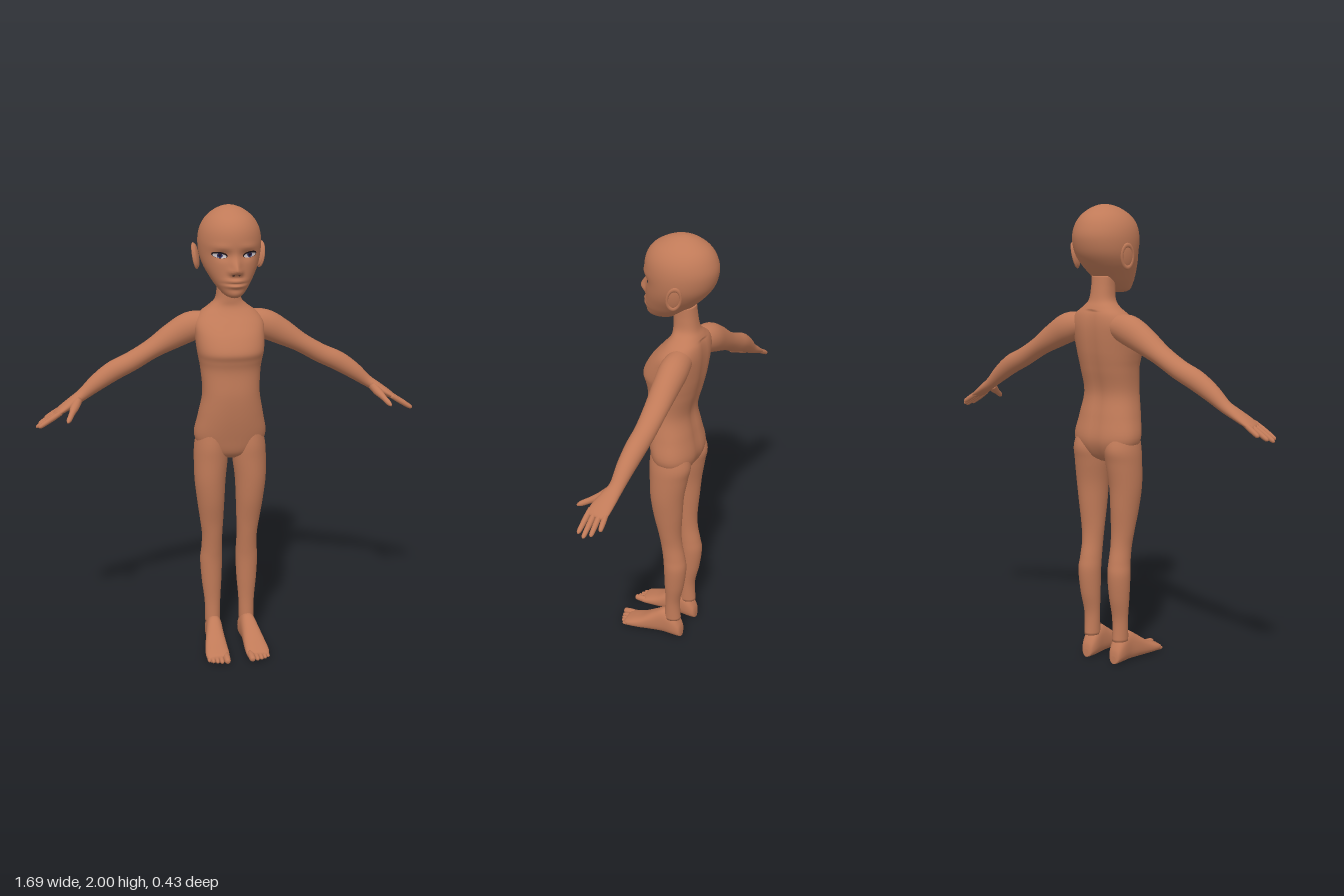
import * as THREE from 'three';

const mat = (name, color) => Object.assign(new THREE.MeshStandardMaterial({ color }), { name });
const skin = mat('skin', 0xc07a58);
const white = mat('eyeWhite', 0xcfc8cc);
const iris = mat('iris', 0x2b2c5c);
const dark = mat('lash', 0x22171a);

const UP = new THREE.Vector3(0, 1, 0);
const Z = new THREE.Vector3(0, 0, 1);
const X = new THREE.Vector3(1, 0, 0);

// Smooth interpolation of rows of numbers
function sample(rows, t) {
  const n = rows.length - 1, i = Math.min(Math.floor(t * n), n - 1), f = t * n - i;
  const p = k => rows[Math.max(0, Math.min(n, k))];
  return rows[i].map((b, c) => {
    const a = p(i - 1)[c], d = p(i + 1)[c], e = p(i + 2)[c];
    return b + 0.5 * f * (d - a + f * (2 * a - 5 * b + 4 * d - e + f * (3 * (b - d) + e - a)));
  });
}

// Skin over rows [x, y, z, radius along u, radius along v]; axis fixes the ring plane
function loft(name, rows, { u = Z, axis = null, power = 2, seg = 24, steps = 6, rule = null } = {}) {
  const count = (rows.length - 1) * steps, pos = [], idx = [];
  const rings = Array.from({ length: count + 1 }, (_, i) => sample(rows, i / count));
  const at = i => new THREE.Vector3(...rings[Math.max(0, Math.min(count, i))].slice(0, 3));
  for (let i = -1; i <= count + 1; i++) {
    const k = Math.max(0, Math.min(count, i)), c = at(k);
    const t = axis || at(k + 1).sub(at(k - 1)).normalize();
    const uu = u.clone().addScaledVector(t, -u.dot(t)).normalize();
    const vv = t.clone().cross(uu), cap = i === k ? 1 : 0;
    for (let j = 0; j < seg; j++) {
      const a = j / seg * Math.PI * 2;
      const r = q => Math.sign(q) * Math.abs(q) ** (2 / power) * cap;
      const p = c.clone().addScaledVector(uu, r(Math.cos(a)) * Math.max(0, rings[k][3]))
        .addScaledVector(vv, r(Math.sin(a)) * Math.max(0, rings[k][4]));
      if (rule) rule(p);
      pos.push(p.x, p.y, p.z);
      if (i <= count) {
        const row = (i + 1) * seg, m = row + (j + 1) % seg, o = row + j;
        idx.push(o, m, o + seg, m, m + seg, o + seg);
      }
    }
  }
  const g = new THREE.BufferGeometry();
  g.setAttribute('position', new THREE.Float32BufferAttribute(pos, 3));
  g.setIndex(idx);
  g.computeVertexNormals();
  const mesh = new THREE.Mesh(g, skin);
  mesh.name = name;
  return mesh;
}

// Upright rows [y, half width, front z, back z, centre x] to loft rows
const upright = rows => rows.map(([y, w, f, b, x = 0]) => [x, y, (f + b) / 2, (f - b) / 2, w]);
const bump = (d, s) => Math.exp(-d * d / (2 * s * s));

// Rounded finger or toe between two points
function digit(name, a, b, r, u) {
  const rows = [[0, 0.9], [0.3, 1], [0.6, 0.95], [0.88, 0.8], [0.97, 0.5], [1, 0.1]]
    .map(([t, k]) => [...a.map((v, i) => v + (b[i] - v) * t), r * k, r * k]);
  return loft(name, rows, { u, seg: 10, steps: 3 });
}

function makeHead() {
  const rows = upright([
    [1.628, 0.02, 0.075, 0], [1.64, 0.042, 0.09, -0.03], [1.67, 0.068, 0.095, -0.08],
    [1.70, 0.088, 0.096, -0.115], [1.75, 0.115, 0.092, -0.165], [1.80, 0.13, 0.09, -0.2],
    [1.86, 0.134, 0.096, -0.215], [1.91, 0.124, 0.087, -0.205], [1.95, 0.1, 0.06, -0.18],
    [1.98, 0.064, 0.012, -0.138], [1.995, 0.03, -0.03, -0.1], [2.0, 0.004, -0.066, -0.074]]);
  // Nose, lips, chin, eye sockets and brows pushed out of the face
  const rule = p => {
    if (p.z < 0) return;
    const ax = Math.abs(p.x), y = p.y;
    p.z += 0.036 * bump(ax, 0.013) * bump(y - 1.745, y > 1.745 ? 0.032 : 0.011)
      + 0.012 * bump(ax - 0.02, 0.008) * bump(y - 1.738, 0.01)
      + 0.014 * bump(ax, 0.026) * (bump(y - 1.701, 0.007) + bump(y - 1.681, 0.007))
      - 0.006 * bump(ax, 0.03) * bump(y - 1.691, 0.004)
      + 0.005 * bump(ax, 0.025) * bump(y - 1.65, 0.012)
      - 0.011 * bump(ax - 0.05, 0.022) * bump(y - 1.806, 0.014)
      + 0.005 * bump(ax - 0.06, 0.028) * bump(y - 1.84, 0.01);
  };
  return loft('head', rows, { axis: UP, seg: 80, steps: 7, rule });
}

// Thin painted ellipse laid on the face
function facePatch(name, head, x, y, w, h, tilt, material, lift) {
  const g = new THREE.RingGeometry(0.001, 1, 24, 3);
  const p = g.attributes.position, ray = new THREE.Raycaster();
  for (let i = 0; i < p.count; i++) {
    const a = p.getX(i) * w, b = p.getY(i) * h;
    const px = x + a * Math.cos(tilt) - b * Math.sin(tilt);
    const py = y + a * Math.sin(tilt) + b * Math.cos(tilt);
    ray.set(new THREE.Vector3(px, py, 1), new THREE.Vector3(0, 0, -1));
    const hit = ray.intersectObject(head)[0];
    p.setXYZ(i, px, py, (hit ? hit.point.z : 0.05) + lift);
  }
  g.computeVertexNormals();
  const mesh = new THREE.Mesh(g, material);
  mesh.name = name;
  return mesh;
}

export function createModel() {
  const model = new THREE.Group();
  model.name = 'figure';
  const head = makeHead();
  head.updateMatrixWorld();
  model.add(head);

  // Torso and neck, with a shallow groove along the back
  model.add(loft('torso', upright([
    [0.90, 0.04, -0.01, -0.08], [0.93, 0.11, 0.03, -0.12], [1.0, 0.158, 0.05, -0.148],
    [1.1, 0.143, 0.07, -0.133], [1.2, 0.125, 0.08, -0.117], [1.3, 0.13, 0.076, -0.14],
    [1.35, 0.138, 0.085, -0.152], [1.39, 0.145, 0.094, -0.16], [1.45, 0.15, 0.065, -0.168],
    [1.5, 0.15, 0.025, -0.17], [1.54, 0.125, -0.01, -0.165], [1.57, 0.085, -0.028, -0.152],
    [1.6, 0.057, -0.03, -0.137], [1.65, 0.05, -0.03, -0.127], [1.7, 0.05, -0.03, -0.12]]), {
    axis: UP, power: 2.3, seg: 48,
    rule: p => { if (p.z < -0.06 && p.y < 1.56) p.z += 0.008 * bump(p.x, 0.018); },
  }));

  for (const s of [1, -1]) {
    const side = s > 0 ? 'left' : 'right';
    const flip = rows => rows.map(([x, ...r]) => [x * s, ...r]);
    const add = (...m) => model.add(...m);

    // Arm and palm
    add(loft(side + 'Arm', flip([
      [0.08, 1.495, -0.1, 0.05, 0.05], [0.16, 1.478, -0.105, 0.06, 0.064],
      [0.24, 1.438, -0.108, 0.056, 0.057], [0.33, 1.385, -0.11, 0.05, 0.043],
      [0.42, 1.333, -0.11, 0.045, 0.042], [0.5, 1.295, -0.107, 0.043, 0.043],
      [0.57, 1.25, -0.102, 0.038, 0.037], [0.635, 1.2, -0.098, 0.031, 0.026],
      [0.68, 1.172, -0.088, 0.038, 0.022], [0.725, 1.145, -0.077, 0.045, 0.017],
      [0.755, 1.127, -0.072, 0.044, 0.011], [0.762, 1.122, -0.071, 0.036, 0.005]])));

    // Fingers and thumb
    [[-0.106, -0.114, 0.803, 1.095], [-0.083, -0.087, 0.83, 1.08],
      [-0.06, -0.06, 0.843, 1.072], [-0.037, -0.032, 0.832, 1.078]].forEach(([z0, z1, x, y], i) =>
      add(digit(side + 'Finger' + (i + 1), [0.735 * s, 1.138, z0], [x * s, y, z1], 0.0115, Z)));
    add(loft(side + 'Thumb', flip([
      [0.655, 1.18, -0.075, 0.016, 0.02], [0.675, 1.158, -0.045, 0.019, 0.018],
      [0.69, 1.14, -0.01, 0.013, 0.013], [0.705, 1.122, 0.025, 0.011, 0.011],
      [0.712, 1.114, 0.04, 0.004, 0.004]]), { u: X, seg: 12, steps: 4 }));

    // Leg
    add(loft(side + 'Leg', flip(upright([
      [0.1, 0.034, -0.02, -0.1, 0.079], [0.2, 0.036, -0.027, -0.095, 0.079],
      [0.3, 0.045, -0.025, -0.115, 0.081], [0.4, 0.05, -0.022, -0.126, 0.082],
      [0.46, 0.047, -0.016, -0.118, 0.08], [0.53, 0.046, -0.006, -0.104, 0.08],
      [0.6, 0.052, 0.005, -0.1, 0.083], [0.7, 0.061, 0.026, -0.107, 0.088],
      [0.8, 0.069, 0.038, -0.115, 0.091], [0.9, 0.075, 0.042, -0.132, 0.086],
      [0.97, 0.072, 0.044, -0.143, 0.084], [1.06, 0.055, 0.035, -0.115, 0.08]])),
    { axis: UP, seg: 28 }));

    // Foot from heel to ball: [z, centre x, half width, height]
    add(loft(side + 'Foot', [
      [-0.108, 0.077, 0.014, 0.035], [-0.1, 0.077, 0.028, 0.07], [-0.07, 0.077, 0.037, 0.115],
      [-0.02, 0.079, 0.037, 0.135], [0.03, 0.084, 0.042, 0.108], [0.09, 0.089, 0.05, 0.068],
      [0.14, 0.091, 0.053, 0.045], [0.168, 0.09, 0.049, 0.032], [0.175, 0.09, 0.042, 0.02],
    ].map(([z, x, w, h]) => [x * s, h / 2 + 0.001, z, w, h / 2]),
    { u: X, axis: Z, power: 2.4, seg: 28 }));

    // Toes
    [[0.057, 0.212, 0.016], [0.081, 0.206, 0.011], [0.1, 0.2, 0.0105], [0.118, 0.192, 0.01],
      [0.134, 0.18, 0.0095]].forEach(([x, z, r], i) =>
      add(digit(side + 'Toe' + (i + 1), [x * 0.98 * s, 0.022, z - 0.06], [x * s, r + 0.002, z], r, X)));

    // Ear: flattened shell with a raised rim
    const ear = new THREE.Group();
    ear.name = side + 'Ear';
    const shell = new THREE.Mesh(new THREE.SphereGeometry(1, 20, 16), skin);
    shell.scale.set(0.011, 0.052, 0.03);
    const rim = new THREE.Mesh(new THREE.TorusGeometry(0.027, 0.006, 8, 28), skin);
    rim.rotation.y = Math.PI / 2;
    rim.scale.y = 1.75;
    rim.position.x = 0.005 * s;
    ear.add(shell, rim);
    ear.position.set(0.137 * s, 1.785, -0.092);
    ear.rotation.set(-0.15, 0.4 * s, -0.13 * s);
    add(ear);

    // Eye and nostril
    const tilt = 0.12 * s;
    add(facePatch(side + 'Lash', head, 0.064 * s, 1.809, 0.032, 0.0135, tilt, dark, 0.001));
    add(facePatch(side + 'EyeWhite', head, 0.064 * s, 1.806, 0.028, 0.0095, tilt, white, 0.002));
    add(facePatch(side + 'Iris', head, 0.063 * s, 1.807, 0.0115, 0.0095, 0, iris, 0.003));
    add(facePatch(side + 'Pupil', head, 0.063 * s, 1.807, 0.005, 0.005, 0, dark, 0.004));
    add(facePatch(side + 'Nostril', head, 0.012 * s, 1.727, 0.005, 0.0025, 0, dark, 0.001));
  }
  return model;
}
